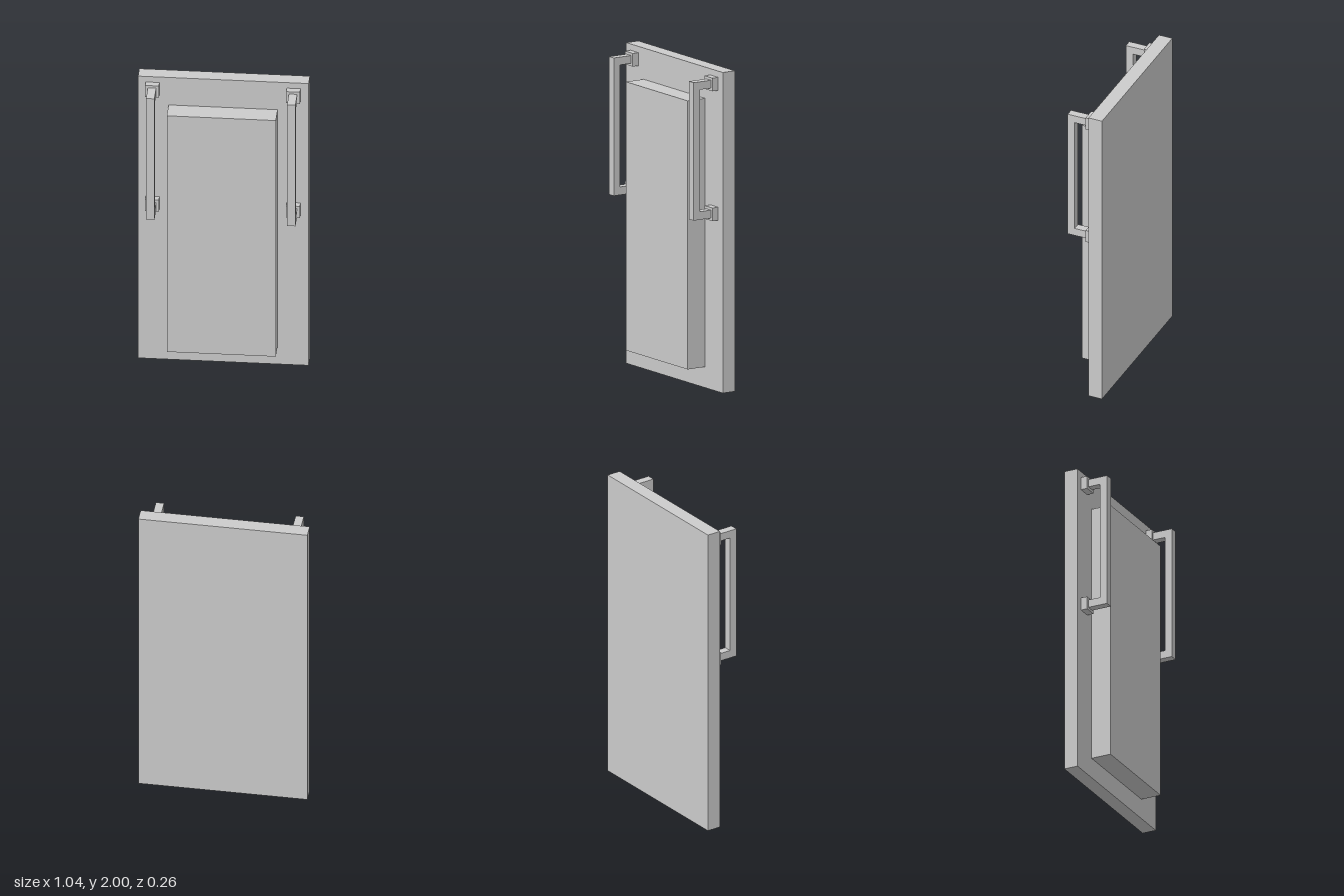
import * as THREE from 'three';

const material = new THREE.MeshStandardMaterial({ color: 0xcccccc });

// Box given by its extents on each axis
function box(name, [x0, x1], [y0, y1], [z0, z1]) {
  const mesh = new THREE.Mesh(new THREE.BoxGeometry(x1 - x0, y1 - y0, z1 - z0), material);
  mesh.position.set((x0 + x1) / 2, (y0 + y1) / 2, (z0 + z1) / 2);
  mesh.name = name;
  return mesh;
}

// U-shaped pull bar with a square mount behind each end
function createHandle(name, x) {
  const handle = new THREE.Group();
  handle.name = name;
  handle.position.x = x;

  // Side profile drawn as (z, y), then turned to run across x
  const width = 0.051;
  const profile = new THREE.Shape([
    [0, 1.085], [0.13, 1.085], [0.13, 1.945], [0, 1.945],
    [0, 1.896], [0.083, 1.896], [0.083, 1.135], [0, 1.135],
  ].map(([z, y]) => new THREE.Vector2(z, y)));
  const geometry = new THREE.ExtrudeGeometry(profile, { depth: width, bevelEnabled: false });
  geometry.translate(0, 0, -width / 2).rotateY(-Math.PI / 2);
  const bar = new THREE.Mesh(geometry, material);
  bar.name = 'handleBar';
  handle.add(bar);

  for (const [mountName, y] of [['upperMount', 1.92], ['lowerMount', 1.11]]) {
    handle.add(box(mountName, [-0.042, 0.042], [y - 0.041, y + 0.041], [-0.04, 0.002]));
  }
  return handle;
}

export function createModel() {
  const model = new THREE.Group();
  model.name = 'panelWithHandles';

  // Back slab and the raised block on its front
  model.add(box('backPanel', [-0.522, 0.522], [0, 2], [-0.13, -0.04]));
  model.add(box('raisedPanel', [-0.335, 0.332], [0.13, 1.805], [-0.04, 0.09]));

  // Handles either side of the raised block
  model.add(createHandle('leftHandle', 0.43));
  model.add(createHandle('rightHandle', -0.433));
  return model;
}
